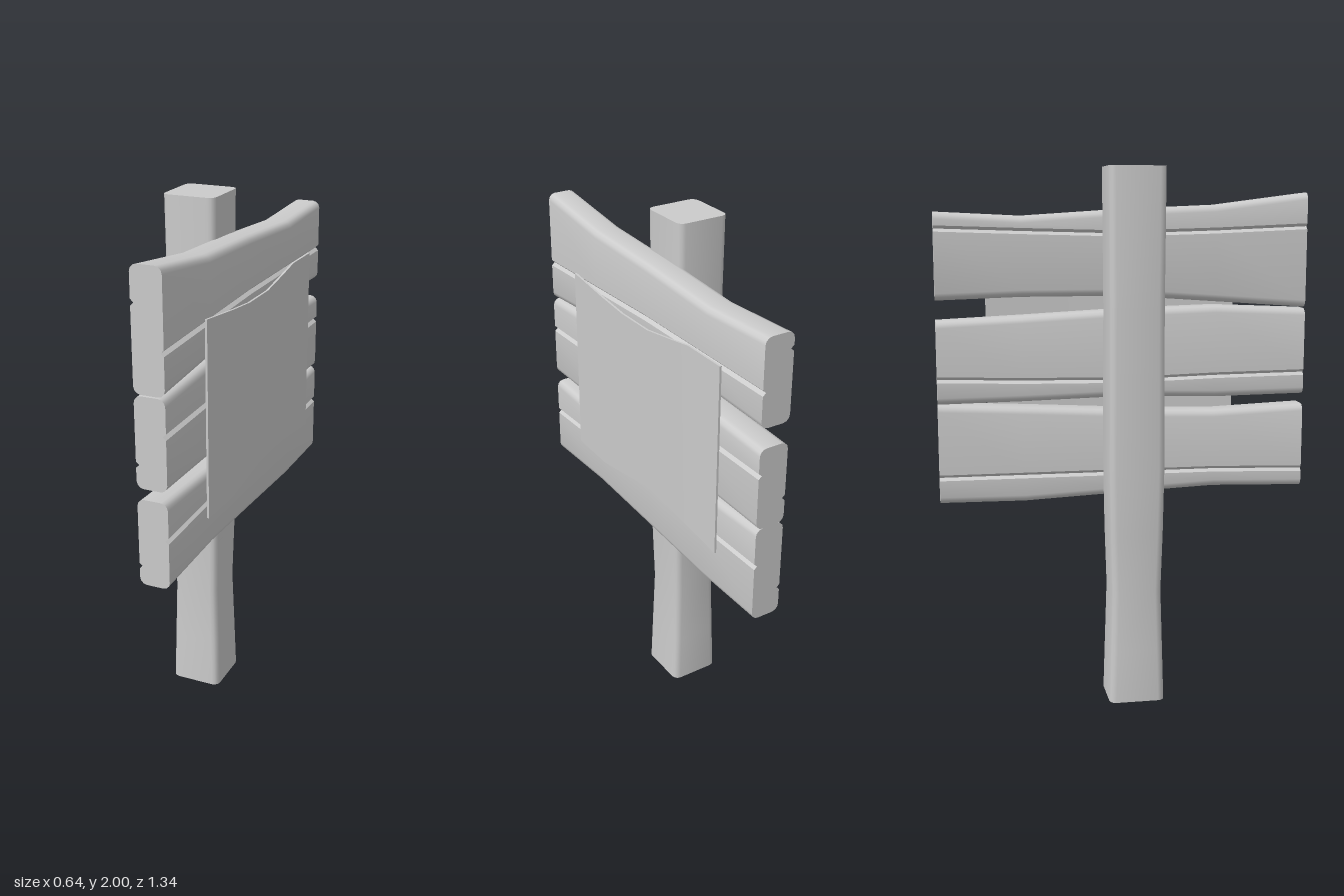
import * as THREE from 'three';
import { toCreasedNormals } from 'three/addons/utils/BufferGeometryUtils.js';

const material = new THREE.MeshStandardMaterial({ color: 0xcccccc });

// Skins a row of closed 2D sections; place(a, b, s) puts a section point in space.
function loft(name, sections, stations, place, crease = 0.7) {
  const n = sections[0].length, pos = [], idx = [];
  sections.forEach((ring, i) => ring.forEach(([a, b]) => pos.push(...place(a, b, stations[i]))));
  const last = (sections.length - 1) * n;
  for (let i = 0; i < last; i += n) {
    for (let j = 0; j < n; j++) {
      const k = (j + 1) % n;
      idx.push(i + j, i + k, i + n + k, i + j, i + n + k, i + n + j);
    }
  }
  const cap = (ring) => THREE.ShapeUtils.triangulateShape(ring.map(([a, b]) => new THREE.Vector2(a, b)), []);
  cap(sections[0]).forEach(([a, b, c]) => idx.push(a, c, b));
  cap(sections[sections.length - 1]).forEach(([a, b, c]) => idx.push(last + a, last + b, last + c));
  const geo = new THREE.BufferGeometry();
  geo.setAttribute('position', new THREE.Float32BufferAttribute(pos, 3));
  geo.setIndex(idx);
  const mesh = new THREE.Mesh(toCreasedNormals(geo, crease), material);
  mesh.name = name;
  return mesh;
}

// Quarter-round corner points
function corner(a, b, r, start) {
  return [0, 1, 2, 3].map((i) => {
    const t = start + (i / 3) * (Math.PI / 2);
    return [a + r * Math.cos(t), b + r * Math.sin(t)];
  });
}

// Plank section (y, z): rounded edges with a groove in each face
function plankSection(top, bottom, frontGroove, backGroove) {
  const h = 0.057, r = 0.026, w = 0.011, d = 0.012;
  return [
    ...corner(top - r, h - r, r, 0),
    [frontGroove + w, h], [frontGroove, h - d], [frontGroove - w, h],
    ...corner(bottom + r, h - r, r, Math.PI / 2),
    ...corner(bottom + r, r - h, r, Math.PI),
    [backGroove - w, -h], [backGroove, d - h], [backGroove + w, -h],
    ...corner(top - r, r - h, r, Math.PI * 1.5),
  ];
}

// Post section (z, x): rounded rectangle
function postSection(scale) {
  const a = 0.1 * scale, b = 0.105 * scale, r = 0.025;
  return [
    ...corner(a - r, b - r, r, 0),
    ...corner(r - a, b - r, r, Math.PI / 2),
    ...corner(r - a, r - b, r, Math.PI),
    ...corner(a - r, r - b, r, Math.PI * 1.5),
  ];
}

const alongX = (y, z, x) => [x, y, z];

export function createModel() {
  const model = new THREE.Group();
  model.name = 'noticeBoard';
  const sign = new THREE.Group();
  sign.name = 'turnedSign';
  sign.rotation.y = THREE.MathUtils.degToRad(112.5);
  model.add(sign);

  // Post, slightly waisted
  const heights = [0, 0.2, 0.43, 0.65, 0.9, 1.5, 2];
  const widths = [1, 0.95, 0.89, 0.95, 0.99, 0.97, 1];
  const post = loft('post', widths.map(postSection), heights, (z, x, y) => [x, y, z]);
  post.position.set(-0.02, 0, -0.133);
  sign.add(post);

  // Uneven planks: heights of edges and grooves at five stations
  const stations = [-0.7, -0.35, 0, 0.38, 0.7];
  const planks = {
    topPlank: {
      top: [1.91, 1.865, 1.85, 1.825, 1.84], bottom: [1.48, 1.505, 1.53, 1.53, 1.52],
      front: [1.63, 1.64, 1.65, 1.65, 1.65], back: [1.785, 1.77, 1.76, 1.77, 1.78],
    },
    middlePlank: {
      top: [1.475, 1.49, 1.48, 1.46, 1.445], bottom: [1.145, 1.14, 1.15, 1.14, 1.135],
      front: [1.345, 1.35, 1.35, 1.345, 1.345], back: [1.23, 1.225, 1.215, 1.22, 1.23],
    },
    bottomPlank: {
      top: [1.105, 1.09, 1.1, 1.12, 1.135], bottom: [0.78, 0.79, 0.775, 0.757, 0.76],
      front: [0.965, 0.975, 0.98, 0.98, 0.985], back: [0.85, 0.86, 0.86, 0.86, 0.86],
    },
  };
  for (const [name, p] of Object.entries(planks)) {
    const sections = stations.map((_, i) => plankSection(p.top[i], p.bottom[i], p.front[i], p.back[i]));
    sign.add(loft(name, sections, stations, alongX));
  }

  // Paper sheet with wavy top and bottom, standing just off the planks
  const sheet = [
    [-0.45, 1.675, 0.945], [-0.25, 1.652, 0.94], [-0.1, 1.638, 0.965], [0.07, 1.638, 0.993],
    [0.22, 1.66, 0.98], [0.33, 1.678, 0.968], [0.51, 1.675, 0.945],
  ];
  const sheetSections = sheet.map(([x, top, bottom]) => {
    const z = 0.086 + 0.004 * Math.cos(((x - 0.03) / 0.48) * (Math.PI / 2)), t = 0.004;
    return [[top, z - t], [top, z + t], [bottom, z + t], [bottom, z - t]];
  });
  sign.add(loft('paperSheet', sheetSections, sheet.map((s) => s[0]), alongX));

  return model;
}
